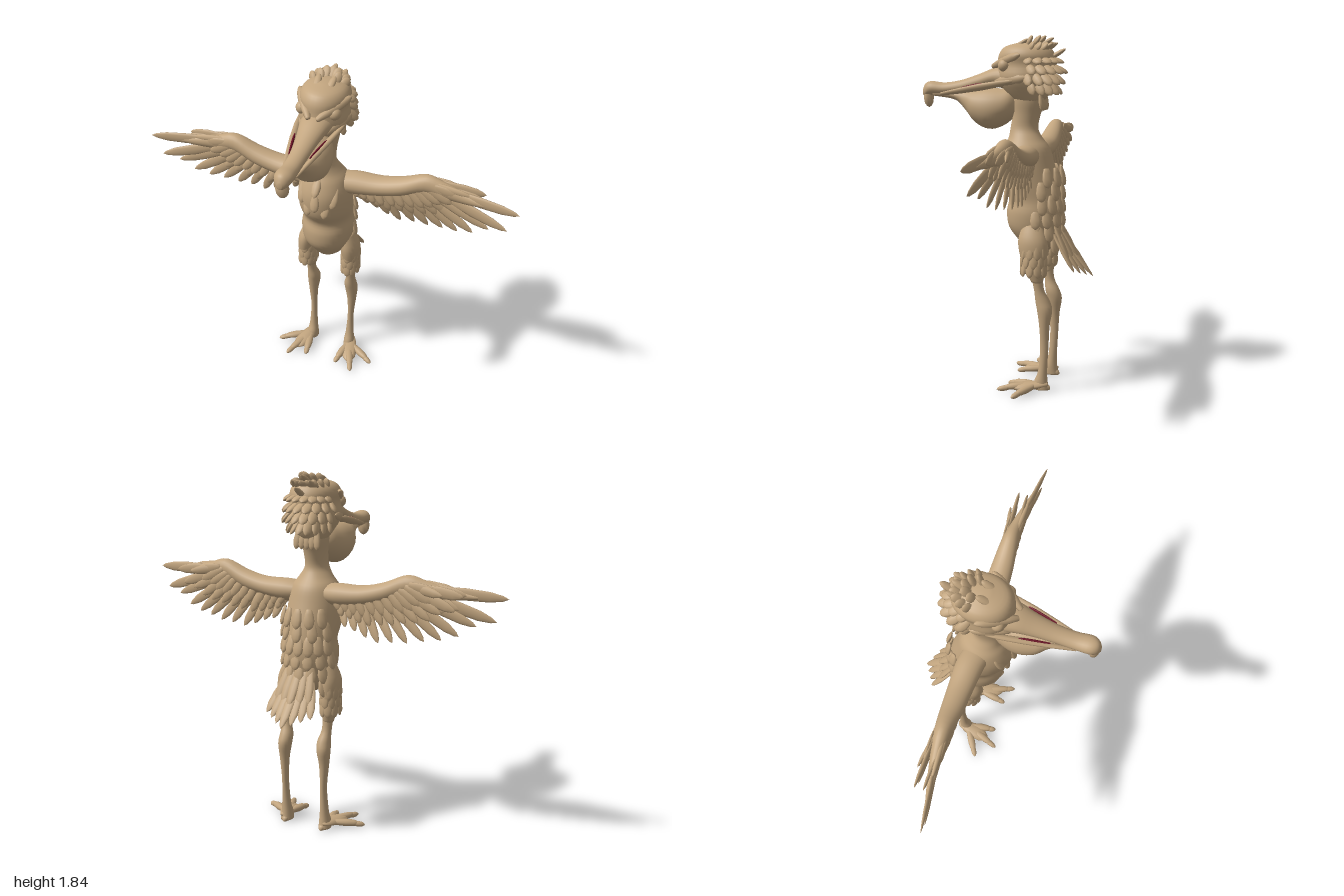
import * as THREE from 'three';
import { mergeGeometries } from 'three/addons/utils/BufferGeometryUtils.js';

const V = (x, y, z) => new THREE.Vector3(x, y, z);
const AXES = { // ring axes for each direction of travel
  x: [V(0, 1, 0), V(0, 0, 1)],
  y: [V(0, 0, 1), V(1, 0, 0)],
  z: [V(1, 0, 0), V(0, 1, 0)],
};

// Smooth closed skin through elliptical sections [x, y, z, radiusU, radiusV]
function loft(axis, rows, seg = 24, sub = 4) {
  const [U, W] = AXES[axis], rings = [];
  for (let i = 0; i < rows.length - 1; i++) {
    const p = [rows[Math.max(i - 1, 0)], rows[i], rows[i + 1], rows[Math.min(i + 2, rows.length - 1)]];
    for (let s = 0; s < sub; s++) {
      const t = s / sub;
      rings.push(p[1].map((b, k) => {
        const a = p[0][k], c = p[2][k], d = p[3][k];
        return b + 0.5 * t * (c - a + t * (2 * a - 5 * b + 4 * c - d + t * (3 * (b - c) + d - a)));
      }));
    }
  }
  rings.push(rows[rows.length - 1]);
  const pos = [], idx = [], n = rings.length;
  rings.forEach(([x, y, z, a, b], i) => {
    for (let j = 0; j < seg; j++) {
      const t = j / seg * Math.PI * 2;
      pos.push(...V(x, y, z).addScaledVector(U, Math.max(a, 0.002) * Math.cos(t))
        .addScaledVector(W, Math.max(b, 0.002) * Math.sin(t)).toArray());
      if (i < n - 1) {
        const k = i * seg, j2 = (j + 1) % seg;
        idx.push(k + j, k + j2, k + seg + j, k + j2, k + seg + j2, k + seg + j);
      }
    }
  });
  const c0 = n * seg, last = (n - 1) * seg;
  pos.push(...rings[0].slice(0, 3), ...rings[n - 1].slice(0, 3));
  for (let j = 0; j < seg; j++) {
    const j2 = (j + 1) % seg;
    idx.push(c0, j2, j, c0 + 1, last + j, last + j2);
  }
  const g = new THREE.BufferGeometry();
  g.setAttribute('position', new THREE.Float32BufferAttribute(pos, 3));
  g.setIndex(idx);
  g.computeVertexNormals();
  return g;
}

// Flattened leaf shape from base to tip; facing gives the flat side
const LEAF = [[0, 0], [0.5, 0.02], [0.8, 0.25], [1, 0.55], [0.85, 0.8], [0.45, 0.94], [0, 1]].map(p => new THREE.Vector2(...p));
function feather(base, tip, width, thick, facing = V(0, 0, 1)) {
  const dir = tip.clone().sub(base), y = dir.clone().normalize();
  const z = facing.clone().addScaledVector(y, -facing.dot(y)).normalize();
  const x = y.clone().cross(z);
  const g = new THREE.LatheGeometry(LEAF, 10);
  g.deleteAttribute('uv');
  return g.applyMatrix4(new THREE.Matrix4()
    .makeBasis(x.multiplyScalar(width), dir, z.multiplyScalar(thick)).setPosition(base));
}

function mirrored(geo) {
  const g = geo.clone().applyMatrix4(new THREE.Matrix4().makeScale(-1, 1, 1));
  const a = g.index.array;
  for (let i = 0; i < a.length; i += 3) [a[i], a[i + 1]] = [a[i + 1], a[i]];
  return g;
}

export function createModel() {
  const root = new THREE.Group();
  root.name = 'bird';
  const tan = new THREE.MeshStandardMaterial({ name: 'tan plumage', color: 0xc2a57f });
  const red = new THREE.MeshStandardMaterial({ name: 'dark red mouth', color: 0x6e1226 });
  const add = (name, geos, mat = tan) => {
    const m = new THREE.Mesh(mergeGeometries([].concat(geos)), mat);
    m.name = name;
    root.add(m);
  };
  const pair = (name, geos, mat = tan) => {
    const g = mergeGeometries([].concat(geos));
    add('left' + name, g, mat);
    add('right' + name, mirrored(g), mat);
  };
  const jitter = i => Math.sin(i * 12.9898) * 0.5;

  // Torso and neck
  add('torso', loft('y', [
    [0, 0.74, -0.17, 0.02, 0.02], [0, 0.76, -0.17, 0.075, 0.06], [0, 0.8, -0.17, 0.11, 0.1],
    [0, 0.87, -0.15, 0.14, 0.13], [0, 0.95, -0.15, 0.15, 0.14], [0, 1.02, -0.15, 0.14, 0.132],
    [0, 1.1, -0.12, 0.155, 0.138], [0, 1.2, -0.1, 0.145, 0.138], [0, 1.28, -0.1, 0.12, 0.12],
    [0, 1.33, -0.095, 0.088, 0.085], [0, 1.38, -0.088, 0.072, 0.058], [0, 1.45, -0.1, 0.072, 0.058],
    [0, 1.52, -0.11, 0.085, 0.068], [0, 1.6, -0.11, 0.08, 0.07]], 32));

  // Head, eyes and brows
  add('head', loft('y', [
    [0, 1.5, -0.12, 0.05, 0.05], [0, 1.55, -0.11, 0.105, 0.085], [0, 1.63, -0.095, 0.145, 0.125],
    [0, 1.7, -0.1, 0.15, 0.115], [0, 1.75, -0.1, 0.143, 0.122], [0, 1.79, -0.1, 0.11, 0.095],
    [0, 1.812, -0.1, 0.03, 0.03]], 32));
  const eye = new THREE.SphereGeometry(0.032, 20, 14).translate(0.083, 1.698, -0.005);
  eye.deleteAttribute('uv');
  pair('Eye', eye);
  pair('Brow', feather(V(0.02, 1.69, 0.075), V(0.135, 1.755, -0.1), 0.026, 0.024, V(0, 1, 0)));
  pair('Cheek', feather(V(0.06, 1.615, 0.05), V(0.125, 1.64, -0.13), 0.03, 0.025, V(1, 0, 0)));

  // Beak with hooked tip, pouch and mouth
  add('upperBeak', [loft('z', [
    [0, 1.63, -0.03, 0.09, 0.07], [0, 1.637, 0.06, 0.073, 0.05], [0, 1.612, 0.15, 0.055, 0.04],
    [0, 1.585, 0.25, 0.044, 0.034], [0, 1.572, 0.34, 0.043, 0.033], [0, 1.575, 0.41, 0.046, 0.036],
    [0, 1.565, 0.445, 0.032, 0.036], [0, 1.555, 0.462, 0.01, 0.015]]),
  feather(V(0, 1.595, 0.435), V(0, 1.475, 0.43), 0.034, 0.026)]);
  add('beakPouch', loft('z', [
    [0, 1.5, -0.07, 0.01, 0.01], [0, 1.5, -0.03, 0.065, 0.07], [0, 1.482, 0.03, 0.092, 0.096],
    [0, 1.475, 0.1, 0.1, 0.105], [0, 1.487, 0.17, 0.086, 0.085], [0, 1.515, 0.22, 0.058, 0.055],
    [0, 1.54, 0.28, 0.04, 0.024], [0, 1.547, 0.4, 0.03, 0.012]]));
  pair('Lip', feather(V(0.03, 1.545, 0.36), V(0.12, 1.625, -0.08), 0.014, 0.022));
  pair('MouthGap', feather(V(0.052, 1.58, 0.235), V(0.083, 1.607, 0.085), 0.01, 0.006, V(1, 0, 0)), red);

  // Ragged feathers over the crown, back of head and nape
  const crest = [];
  for (let r = 0; r < 6; r++) {
    const el = -0.6 + r * 0.36, count = r > 4 ? 5 : 9;
    for (let i = 0; i < count; i++) {
      const az = (i / (count - 1) - 0.5) * 2.7 + (r % 2) * 0.12;
      const n = V(Math.sin(az) * Math.cos(el), Math.sin(el), -Math.cos(az) * Math.cos(el));
      const base = V(n.x * 0.115, 1.69 + n.y * 0.115, -0.1 + n.z * 0.14);
      const len = 0.035 + 0.012 * jitter(r * 9 + i);
      const tip = base.clone().addScaledVector(n, len).add(V(0, r > 3 ? 0.01 : -0.05, -0.035));
      crest.push(feather(base.addScaledVector(n, -0.012), tip, 0.024, 0.012, n));
    }
  }
  for (const [x, y, z] of [[0, 1.835, -0.24], [0.04, 1.83, -0.12], [-0.04, 1.83, -0.12], [0.05, 1.81, -0.25], [-0.05, 1.81, -0.25], [0, 1.78, -0.3]])
    crest.push(feather(V(x * 0.7, y - 0.06, z + 0.1), V(x, y, z), 0.02, 0.012, V(0, 1, 0)));
  for (let i = 0; i < 5; i++)
    crest.push(feather(V((i - 2) * 0.025, 1.57, -0.18), V((i - 2) * 0.03, 1.47, -0.195), 0.02, 0.012));
  add('headFeathers', crest);

  // Small feathers lying on the back, flanks and breast
  const plumage = [];
  for (let r = 0; r < 6; r++) {
    const y = 0.84 + r * 0.07, count = 7 - (r > 3 ? 2 : 0);
    for (let i = 0; i < count; i++) {
      const az = (i / (count - 1) - 0.5) * (2.9 - r * 0.2) + jitter(r * 7 + i) * 0.15;
      const n = V(Math.sin(az), 0, -Math.cos(az));
      const base = V(n.x * 0.13, y, -0.145 + n.z * 0.135);
      plumage.push(feather(base, base.clone().addScaledVector(n, 0.025).add(V(0, -0.1, 0)), 0.028, 0.012, n));
    }
  }
  for (const [x, y] of [[0, 1.24], [0.05, 1.2], [-0.05, 1.2], [0.09, 1.26], [-0.09, 1.26], [0, 1.33]])
    plumage.push(feather(V(x, y, 0.03 - Math.abs(x) * 0.6 - (y > 1.3 ? 0.055 : 0)),
      V(x * 0.9, y - 0.1, 0.06 - Math.abs(x) * 0.4), 0.025, 0.014));
  add('bodyFeathers', plumage);

  // Tail fan, two layers
  const tail = [];
  for (let i = -3; i <= 3; i++) {
    const k = Math.abs(i);
    tail.push(feather(V(i * 0.018, 0.86, -0.25), V(i * 0.042, 0.62 + k * 0.015, -0.46 + k * 0.025), 0.028, 0.01, V(0, 0.6, -0.8)));
    if (k < 3) tail.push(feather(V(i * 0.03, 0.9, -0.26), V(i * 0.045, 0.71, -0.385 + k * 0.015), 0.026, 0.01, V(0, 0.6, -0.8)));
  }
  add('tail', tail);

  // Wings
  pair('WingArm', loft('x', [
    [0.05, 1.25, -0.11, 0.045, 0.07], [0.15, 1.25, -0.13, 0.057, 0.07], [0.28, 1.258, -0.135, 0.05, 0.062],
    [0.4, 1.285, -0.135, 0.05, 0.055], [0.52, 1.33, -0.135, 0.05, 0.042], [0.62, 1.315, -0.13, 0.042, 0.032],
    [0.75, 1.3, -0.115, 0.025, 0.02], [0.86, 1.295, -0.1, 0.008, 0.008]]));
  // feather rows: [baseX, baseY, tipX, tipY, halfWidth]
  const flight = [
    [0.56, 1.32, 1.0, 1.298, 0.03], [0.54, 1.31, 0.95, 1.187, 0.03], [0.5, 1.3, 0.86, 1.16, 0.028],
    [0.48, 1.29, 0.78, 1.107, 0.028], [0.45, 1.28, 0.7, 1.082, 0.027], [0.41, 1.27, 0.62, 1.07, 0.026],
    [0.37, 1.26, 0.54, 1.055, 0.026], [0.33, 1.25, 0.465, 1.05, 0.025], [0.28, 1.24, 0.39, 1.04, 0.025],
    [0.24, 1.23, 0.325, 1.06, 0.024], [0.2, 1.23, 0.265, 1.085, 0.023], [0.16, 1.23, 0.21, 1.1, 0.022]];
  pair('FlightFeathers', flight.map(([bx, by, tx, ty, w]) =>
    feather(V(bx, by, -0.135), V(tx, ty, -0.18 + 0.1 * Math.max(0, (tx - 0.5) / 0.5)), w, 0.01)));
  const coverts = [];
  for (const [bx, by, tx, ty, w] of flight) {
    for (const s of [-1, 1]) {
      const z = -0.14 + s * 0.022;
      coverts.push(feather(V(bx, by + 0.01, z), V(bx + (tx - bx) * 0.58, by + (ty - by) * 0.6, z - 0.015), w * 0.95, 0.01));
      coverts.push(feather(V(bx - 0.02, by + 0.02, z + s * 0.012), V(bx + (tx - bx) * 0.3, by + (ty - by) * 0.4, z + s * 0.012), w * 0.9, 0.01));
    }
  }
  coverts.push(feather(V(0.5, 1.34, -0.15), V(0.72, 1.305, -0.195), 0.025, 0.012));
  coverts.push(feather(V(0.47, 1.35, -0.12), V(0.76, 1.325, -0.11), 0.022, 0.014));
  pair('WingCoverts', coverts);

  // Thighs with hanging tufts
  const thigh = [loft('y', [
    [0.12, 0.6, -0.19, 0.03, 0.028], [0.125, 0.66, -0.183, 0.05, 0.038], [0.128, 0.74, -0.172, 0.07, 0.046],
    [0.12, 0.82, -0.165, 0.075, 0.05], [0.1, 0.9, -0.16, 0.05, 0.035]])];
  for (let r = 0; r < 3; r++)
    for (let i = 0; i < 9; i++) {
      const az = (i + r / 2) / 9 * Math.PI * 2, n = V(Math.sin(az), 0, Math.cos(az));
      const base = V(0.125 + n.x * 0.036, 0.73 + r * 0.045, -0.172 + n.z * 0.057);
      thigh.push(feather(base, base.clone().add(V(n.x * 0.012, -0.1, n.z * 0.008)), 0.022, 0.01, n));
    }
  pair('Thigh', thigh);

  // Shanks with knobbly joints
  pair('Shank', loft('y', [
    [0.115, 0.02, -0.215, 0.042, 0.032], [0.115, 0.06, -0.213, 0.036, 0.03], [0.115, 0.12, -0.222, 0.024, 0.023],
    [0.115, 0.25, -0.23, 0.022, 0.017], [0.118, 0.37, -0.23, 0.028, 0.025], [0.115, 0.45, -0.23, 0.04, 0.035],
    [0.112, 0.5, -0.218, 0.038, 0.034], [0.118, 0.56, -0.2, 0.026, 0.025], [0.12, 0.64, -0.188, 0.032, 0.03]], 18));

  // Feet: three splayed toes with claws, and a heel spur
  const foot = [feather(V(0.115, 0.05, -0.25), V(0.165, 0.028, -0.06), 0.045, 0.022, V(0, 1, 0)),
    feather(V(0.115, 0.05, -0.2), V(0.11, 0.018, -0.262), 0.02, 0.018, V(0, 1, 0))];
  for (const [x, z] of [[0.27, -0.11], [0.19, -0.02], [0.095, -0.05]]) {
    const dx = x - 0.12, dz = z + 0.2;
    foot.push(feather(V(0.12, 0.045, -0.2), V(x, 0.033, z), 0.022, 0.019, V(0, 1, 0)));
    foot.push(feather(V(0.12 + dx * 0.65, 0.036, -0.2 + dz * 0.65), V(0.12 + dx * 1.14, 0.024, -0.2 + dz * 1.14), 0.016, 0.015, V(0, 1, 0)));
  }
  pair('Foot', foot);

  return root;
}
